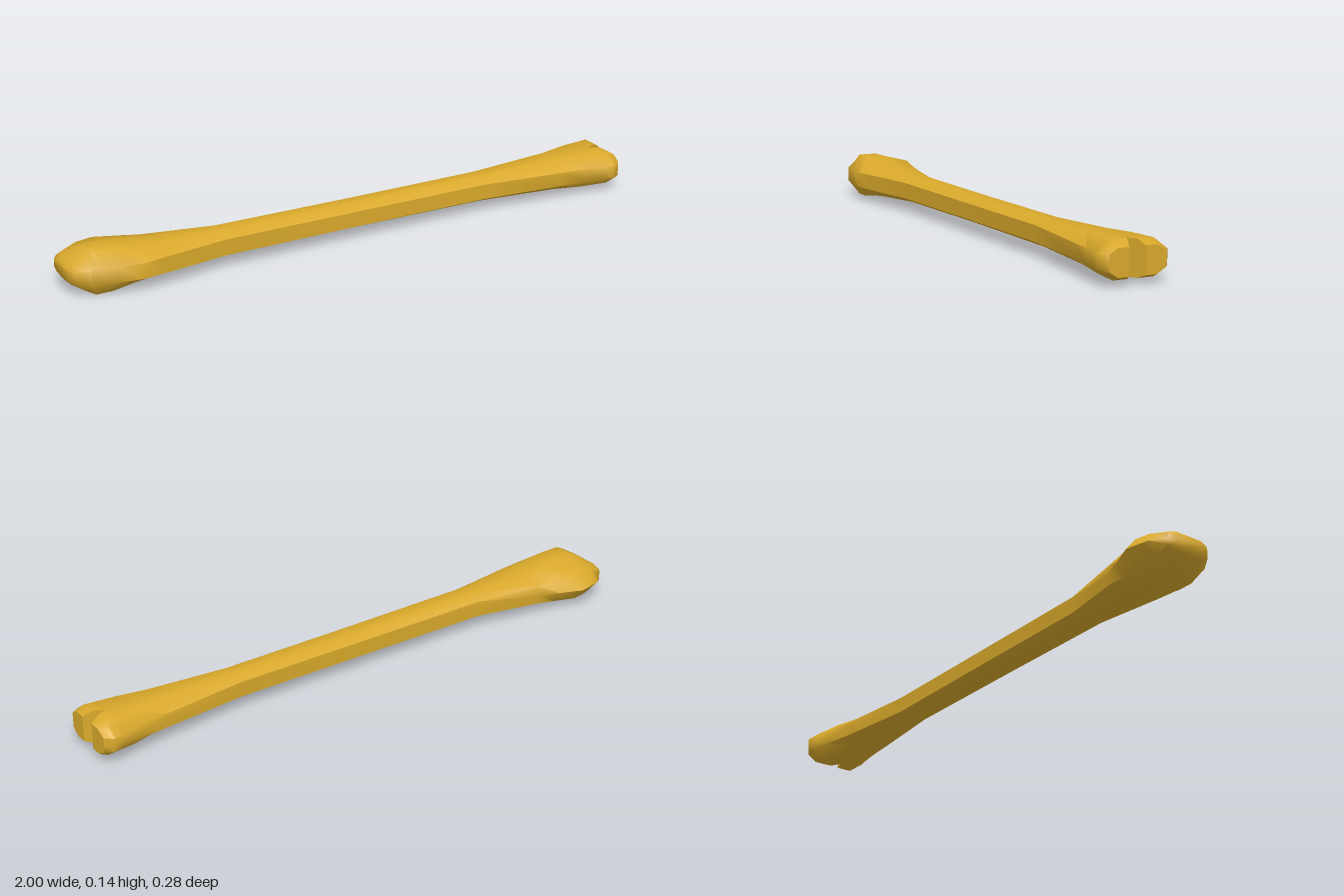
import * as THREE from 'three';
import { mergeGeometries, toCreasedNormals } from 'three/addons/utils/BufferGeometryUtils.js';

const MID = 0.073; // height of the bone's long axis

// Nine-sided section: back/front extents, bottom/top, flat top span,
// half height of the sides, and z of the shoulders beside the back ridge
function section([x, back, front, bottom, top, topBack, topFront, side, shoulder = back, backSide = side]) {
  return [
    [x, MID + side, front], [x, MID - side, front],
    [x, bottom, topFront], [x, bottom, topBack],
    [x, MID - backSide, shoulder], [x, MID, back], [x, MID + backSide, shoulder],
    [x, top, topBack], [x, top, topFront],
  ];
}

// Skin a list of rings running towards +x, with optional end caps
function loft(rings, capStart, capEnd) {
  const n = rings[0].length;
  const index = [];
  for (let i = 0; i < rings.length - 1; i++) {
    for (let j = 0; j < n; j++) {
      const a = i * n + j, b = i * n + (j + 1) % n;
      index.push(a, b, b + n, a, b + n, a + n);
    }
  }
  const last = (rings.length - 1) * n;
  for (let j = 1; j < n - 1; j++) {
    if (capStart) index.push(0, j + 1, j);
    if (capEnd) index.push(last, last + j, last + j + 1);
  }
  const geometry = new THREE.BufferGeometry();
  geometry.setAttribute('position', new THREE.Float32BufferAttribute(rings.flat(2), 3));
  geometry.setIndex(index);
  return geometry;
}

export function createModel() {
  // Knobbed head, slim shaft and flared far end
  const body = [
    [-1.0, -0.065, 0.05, 0.052, 0.094, -0.04, 0.03, 0.012],
    [-0.985, -0.085, 0.07, 0.04, 0.106, -0.05, 0.045, 0.018],
    [-0.94, -0.122, 0.098, 0.012, 0.134, -0.03, 0.055, 0.025, -0.09, 0.035],
    [-0.915, -0.128, 0.104, 0, 0.145, 0, 0.065, 0.026, -0.095, 0.042],
    [-0.86, -0.14, 0.112, 0, 0.145, 0, 0.065, 0.027, -0.1, 0.046],
    [-0.78, -0.108, 0.124, 0.012, 0.135, -0.005, 0.062, 0.026, -0.08, 0.042],
    [-0.71, -0.08, 0.115, 0.018, 0.128, 0, 0.058, 0.027, -0.074, 0.033],
    [-0.48, -0.035, 0.082, 0.03, 0.118, 0, 0.05, 0.027],
    [0, -0.031, 0.08, 0.031, 0.117, 0.002, 0.048, 0.026],
    [0.48, -0.026, 0.08, 0.03, 0.118, 0.002, 0.05, 0.026],
    [0.77, -0.055, 0.112, 0.021, 0.128, -0.01, 0.065, 0.024],
    [0.87, -0.067, 0.122, 0.016, 0.131, -0.03, 0.08, 0.023],
    [0.935, -0.08, 0.133, 0.016, 0.131, -0.037, 0.088, 0.022],
  ];

  // Forked tip: the same sections cut by a V-shaped notch
  const fork = [
    body[body.length - 1],
    [0.972, -0.089, 0.14, 0.016, 0.131, -0.042, 0.093, 0.022],
    [1.0, -0.07, 0.12, 0.028, 0.115, -0.038, 0.092, 0.025],
  ];
  const notch = [0, 0.017, 0.028];
  const prong = (isFront) => loft(fork.map((s, i) => {
    const r = section(s);
    const z = 0.028 + (isFront ? 1 : -1) * notch[i];
    const low = [s[0], s[3], z], high = [s[0], s[4], z];
    return isFront
      ? [r[0], r[1], r[2], low, high, r[8]]
      : [low, r[3], r[4], r[5], r[6], r[7], high];
  }), false, true);

  const geometry = mergeGeometries([loft(body.map(section), true, false), prong(true), prong(false)]);
  const bone = new THREE.Mesh(
    toCreasedNormals(geometry, 0.95),
    new THREE.MeshStandardMaterial({ color: 0xd9a92b }),
  );
  bone.name = 'bone';

  const group = new THREE.Group();
  group.name = 'boneModel';
  group.add(bone);
  return group;
}
